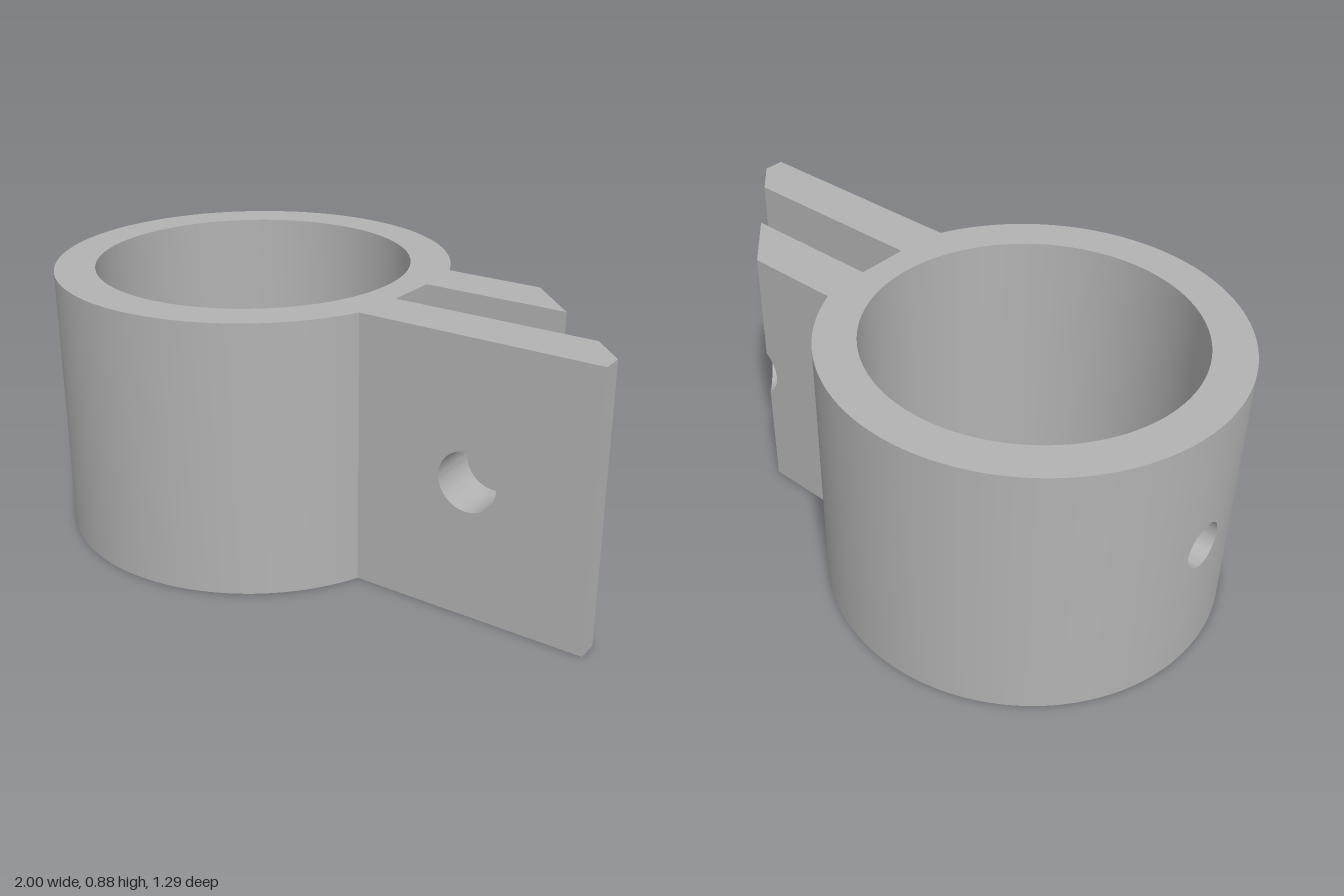
import * as THREE from 'three';
import { toCreasedNormals } from 'three/addons/utils/BufferGeometryUtils.js';

const H = 0.88, CX = -0.357, R = 0.643, RI = 0.513;   // ring
const TAB = 0.257, SLOT = 0.0875, ROOT = 0.25;        // tab outer / inner faces, slot end
const HX = 0.607, HY = H / 2, HR = 0.095;             // bolt hole
const GAP = 0.12, PIN = 0.075;                        // pin hole section of the ring

export function createModel() {
  const group = new THREE.Group();
  group.name = 'pipeClamp';
  const grey = new THREE.MeshStandardMaterial({ color: 0xb2b2b2 });
  grey.name = 'grey';

  const add = (name, geometry) => {
    const mesh = new THREE.Mesh(toCreasedNormals(geometry, 0.5), grey);
    mesh.name = name;
    group.add(mesh);
  };

  // Ring with the flat root of the tabs, open where the pin hole section sits
  const aRoot = Math.asin(TAB / R), aOut = Math.asin(GAP / R), aIn = Math.asin(GAP / RI);
  const plan = new THREE.Shape();
  plan.moveTo(ROOT, -TAB);
  plan.lineTo(ROOT, TAB);
  plan.absarc(CX, 0, R, aRoot, Math.PI - aOut, false);
  plan.absarc(CX, 0, RI, Math.PI - aIn, aIn - Math.PI, true);
  plan.absarc(CX, 0, R, Math.PI + aOut, 2 * Math.PI - aRoot, false);
  plan.closePath();
  const ring = new THREE.ExtrudeGeometry(plan, { depth: H, bevelEnabled: false, curveSegments: 64 });
  ring.rotateX(-Math.PI / 2);
  add('ring', ring);
  add('pinHoleSection', pinHoleSection());

  // Tabs: upright panels whose back and front depth follow a rule in x
  const panel = (name, shape, back, front) => {
    const g = new THREE.ExtrudeGeometry(shape, { depth: 1, bevelEnabled: false, curveSegments: 32 });
    const p = g.attributes.position;
    for (let i = 0; i < p.count; i++) {
      const x = p.getX(i);
      p.setZ(i, p.getZ(i) > 0.5 ? front(x) : back(x));
    }
    add(name, g);
  };
  const rect = (x0, x1) => new THREE.Shape([[x0, 0], [x1, 0], [x1, H], [x0, H]]
    .map(([x, y]) => new THREE.Vector2(x, y)));

  // Long front tab with a chamfered inner tip
  const frontChamfer = 0.9;
  const frontBack = x => SLOT + Math.max(0, x - frontChamfer);
  const frontShape = rect(ROOT, frontChamfer);
  frontShape.holes.push(new THREE.Path().absarc(HX, HY, HR, 0, 2 * Math.PI, true));
  panel('frontTab', frontShape, frontBack, () => TAB);
  panel('frontTabTip', rect(frontChamfer, 1), frontBack, () => TAB);

  // Short back tab, its outer chamfer cutting through the bolt hole
  const x0 = 0.553, x1 = 0.722, phi = Math.acos((x0 - HX) / HR);
  const backBack = x => -TAB + Math.max(0, x - x0);
  const inner = new THREE.Shape();
  inner.moveTo(ROOT, 0);
  inner.lineTo(x0, 0);
  inner.absarc(HX, HY, HR, -phi, phi, true);
  inner.lineTo(x0, H);
  inner.lineTo(ROOT, H);
  inner.closePath();
  panel('backTab', inner, backBack, () => -SLOT);
  const tip = new THREE.Shape();
  tip.moveTo(x0, 0);
  tip.lineTo(x1, 0);
  tip.lineTo(x1, H);
  tip.lineTo(x0, H);
  tip.absarc(HX, HY, HR, phi, -phi, true);
  tip.closePath();
  panel('backTabTip', tip, backBack, () => -SLOT);

  return group;
}

// Piece of the ring wall around the pin hole: a closed section carried round the hole
function pinHoleSection() {
  const N = 64, S = 6, M = 2 * (S + 1), pos = [], index = [];
  for (let i = 0; i < N; i++) {
    const a = (i / N) * 2 * Math.PI, c = Math.cos(a), s = Math.sin(a);
    const m = Math.max(Math.abs(c), Math.abs(s));
    for (let j = 0; j < M; j++) {
      const outer = j <= S;
      const t = (outer ? j : M - 1 - j) / S;
      const z = THREE.MathUtils.lerp(PIN * c, GAP * c / m, t);
      const y = THREE.MathUtils.lerp(PIN * s, H / 2 * s / m, t);
      const r = outer ? R : RI;
      pos.push(CX - Math.sqrt(r * r - z * z), H / 2 + y, z);
      const i2 = (i + 1) % N, j2 = (j + 1) % M;
      const p = i * M + j, q = i * M + j2, u = i2 * M + j2, v = i2 * M + j;
      index.push(p, q, u, p, u, v);
    }
  }
  const g = new THREE.BufferGeometry();
  g.setAttribute('position', new THREE.Float32BufferAttribute(pos, 3));
  g.setIndex(index);
  return g;
}
